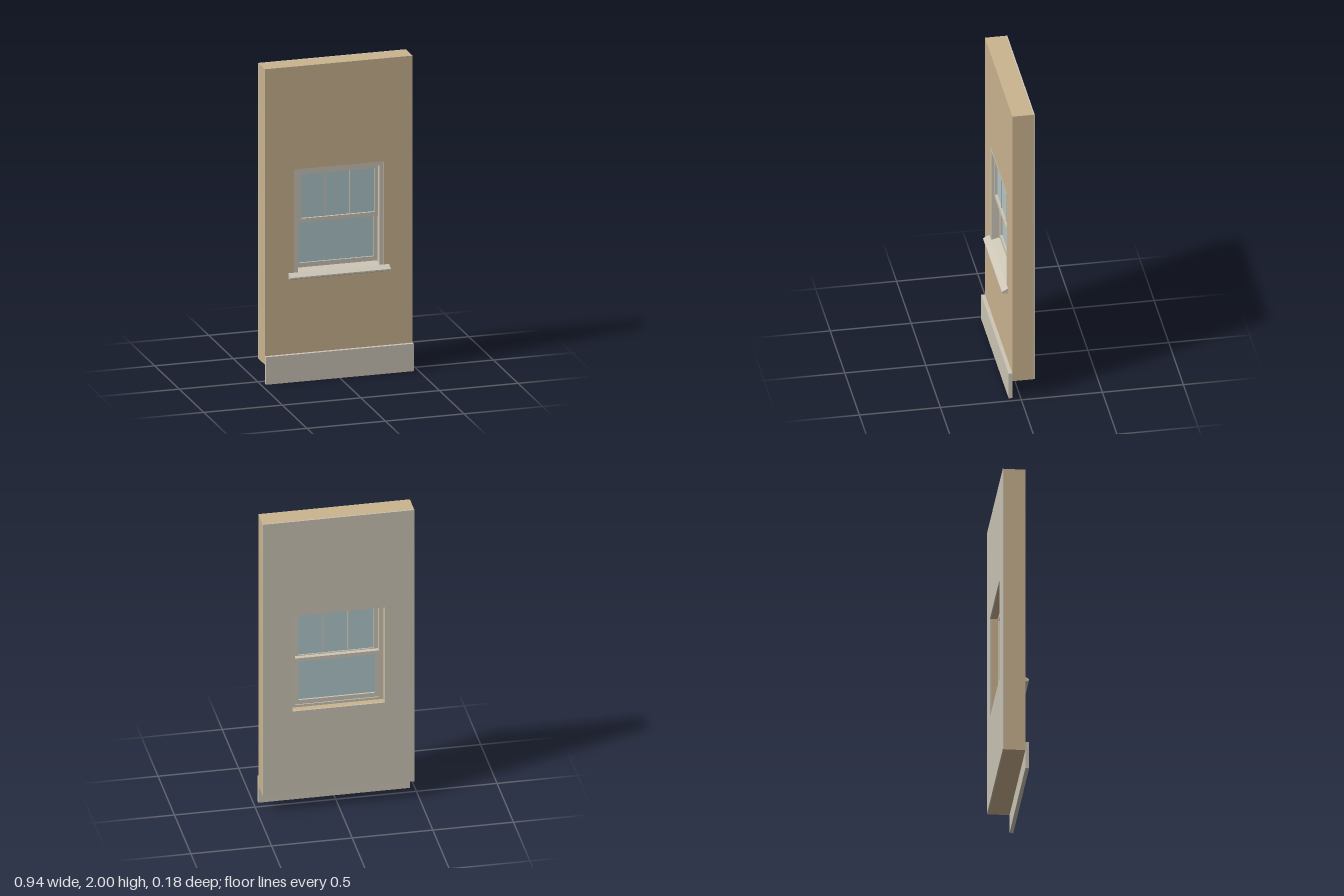
import * as THREE from 'three';

const mat = (name, color) => Object.assign(new THREE.MeshStandardMaterial({ color }), { name });

export function createModel() {
  const tan = mat('tan wall', 0xcbb490);
  const trim = mat('off-white trim', 0xcdc6b7);
  const plaster = mat('grey plaster', 0xcbc4b6);
  const glass = mat('pale blue glass', 0xb0c7cc);

  const model = new THREE.Group();
  model.name = 'wallSectionWithWindow';

  const add = (parent, name, geometry, material) => {
    const mesh = new THREE.Mesh(geometry, material);
    mesh.name = name;
    parent.add(mesh);
    return mesh;
  };
  const group = (name) => {
    const g = new THREE.Group();
    g.name = name;
    model.add(g);
    return g;
  };
  // Box given by its limits on each axis
  const box = (parent, name, material, x0, x1, y0, y1, z0, z1) => {
    const g = new THREE.BoxGeometry(x1 - x0, y1 - y0, z1 - z0);
    g.translate((x0 + x1) / 2, (y0 + y1) / 2, (z0 + z1) / 2);
    return add(parent, name, g, material);
  };
  const rect = (T, w, y0, y1) => {
    const s = new T();
    s.moveTo(-w, y0);
    s.lineTo(w, y0);
    s.lineTo(w, y1);
    s.lineTo(-w, y1);
    s.closePath();
    return s;
  };
  // Rectangular panel with a rectangular opening
  const ring = (parent, name, material, outer, inner, z0, z1) => {
    const s = rect(THREE.Shape, ...outer);
    s.holes.push(rect(THREE.Path, ...inner));
    const g = new THREE.ExtrudeGeometry(s, { depth: z1 - z0, bevelEnabled: false });
    g.translate(0, 0, z0);
    return add(parent, name, g, material);
  };
  // Moulding with a (z, y) profile running along x
  const moulding = (parent, name, material, points, halfLength) => {
    const s = new THREE.Shape(points.map(([z, y]) => new THREE.Vector2(z, y)));
    const g = new THREE.ExtrudeGeometry(s, { depth: halfLength * 2, bevelEnabled: false });
    g.translate(0, 0, -halfLength);
    g.rotateY(-Math.PI / 2);
    return add(parent, name, g, material);
  };

  // Wall with its inner plaster lining
  const opening = [0.286, 0.686, 1.345];
  ring(model, 'wall', tan, [0.47, 0.12, 2], opening, -0.08, 0.05);
  ring(model, 'plasterLining', plaster, [0.47, 0.12, 2], opening, -0.088, -0.08);

  // Base board hanging below the wall
  box(model, 'baseBoard', trim, -0.47, 0.47, 0, 0.175, 0.05, 0.073);

  // Window frame, flush with the wall face
  const frame = group('windowFrame');
  for (const s of [-1, 1]) {
    const span = (a, b) => [Math.min(s * a, s * b), Math.max(s * a, s * b)];
    box(frame, 'jamb', trim, ...span(0.26, 0.286), 0.686, 1.345, -0.04, 0.049);
    box(frame, 'partingBead', trim, ...span(0.252, 0.26), 0.69, 1.32, -0.003, 0.001);
  }
  box(frame, 'head', trim, -0.26, 0.26, 1.32, 1.345, -0.04, 0.049);

  // Sloping sill: inner part in the opening, outer nose past the casing
  const sill = group('sill');
  moulding(sill, 'innerSill', trim,
    [[-0.04, 0.686], [0.05, 0.686], [0.05, 0.688], [0, 0.702], [-0.04, 0.702]], 0.26);
  moulding(sill, 'outerSill', trim,
    [[0.05, 0.655], [0.08, 0.655], [0.088, 0.66], [0.088, 0.669], [0.05, 0.689]], 0.32);

  // Upper sash with two glazing bars
  const upper = group('upperSash');
  ring(upper, 'upperSashFrame', trim, [0.255, 0.998, 1.32], [0.234, 1.022, 1.302], 0.001, 0.03);
  box(upper, 'upperGlass', glass, -0.234, 0.234, 1.022, 1.302, 0.009, 0.015);
  for (const x of [-0.08, 0.08]) {
    box(upper, 'glazingBar', trim, x - 0.004, x + 0.004, 1.022, 1.302, 0.003, 0.021);
  }

  // Lower sash, sliding behind the upper one
  const lower = group('lowerSash');
  ring(lower, 'lowerSashFrame', trim, [0.26, 0.7, 1.02], [0.238, 0.73, 0.996], -0.033, -0.003);
  box(lower, 'lowerGlass', glass, -0.238, 0.238, 0.73, 0.996, -0.021, -0.015);

  return model;
}
